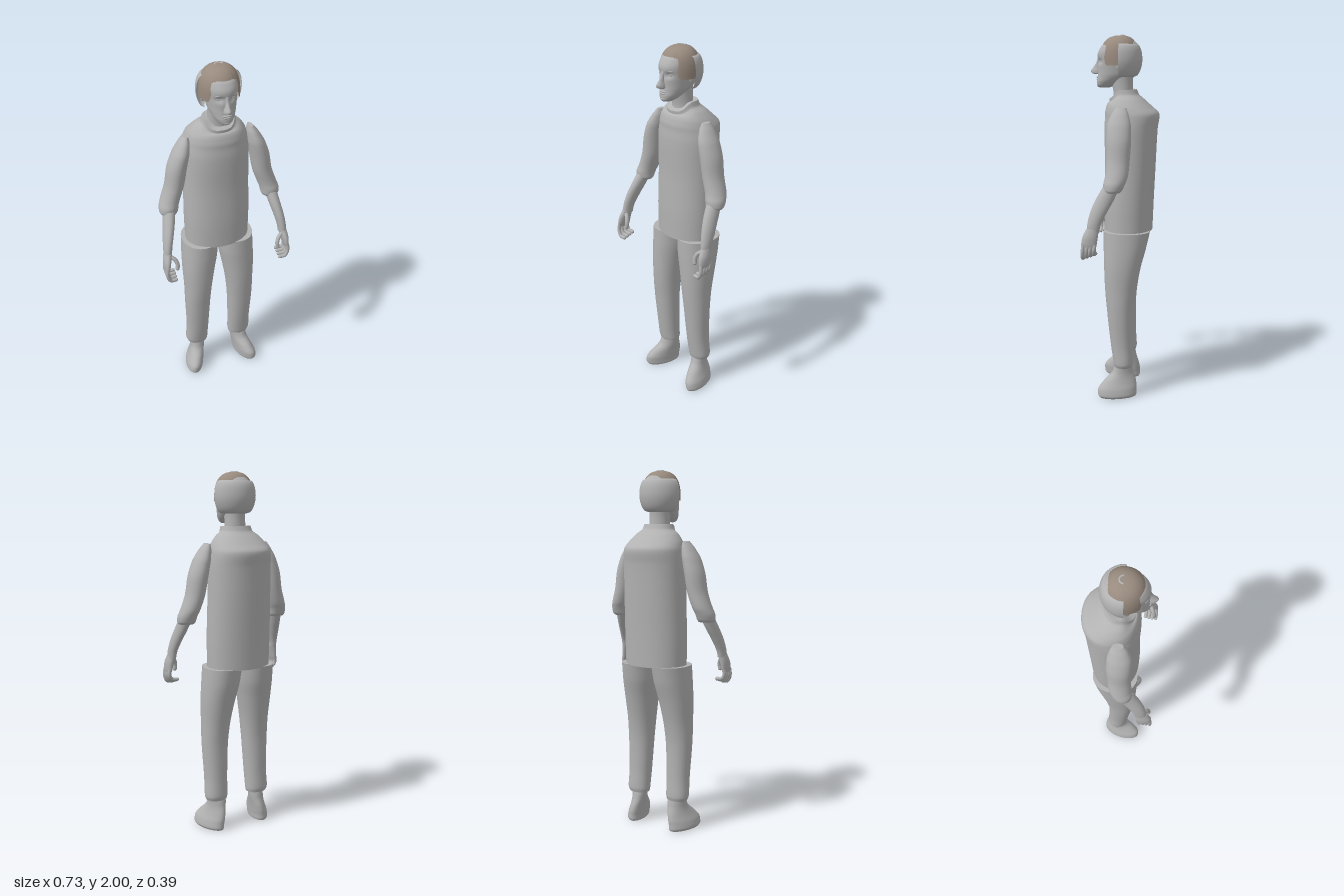
import * as THREE from 'three';

const grey = new THREE.MeshStandardMaterial({ color: 0xb2b2b2, side: THREE.DoubleSide });
grey.name = 'plain grey';
const brown = new THREE.MeshStandardMaterial({ color: 0x988a7e, side: THREE.DoubleSide });
brown.name = 'hair brown';

const SIDES = [['left', 1], ['right', -1]];
const smooth = THREE.MathUtils.smoothstep;

function add(parent, name, geometry, material = grey) {
  const mesh = new THREE.Mesh(geometry, material);
  mesh.name = name;
  parent.add(mesh);
  return mesh;
}

// Smooth capped body through oval sections [y, x, z, rx, rz], listed bottom to top
function loft(sections, { side = 1, n = 36, steps = 6, power = 2, deform } = {}) {
  const centres = new THREE.CatmullRomCurve3(sections.map(s => new THREE.Vector3(s[1] * side, s[0], s[2])));
  const radii = new THREE.CatmullRomCurve3(sections.map(s => new THREE.Vector3(s[3], s[4], 0)));
  const rows = (sections.length - 1) * steps;
  const pos = [], index = [];
  const bend = v => Math.sign(v) * Math.pow(Math.abs(v), 2 / power);
  for (let j = 0; j <= rows; j++) {
    const c = centres.getPoint(j / rows), r = radii.getPoint(j / rows);
    for (let i = 0; i < n; i++) {
      const a = i / n * Math.PI * 2;
      const p = new THREE.Vector3(c.x + r.x * bend(Math.cos(a)), c.y, c.z + r.y * bend(Math.sin(a)));
      if (deform) deform(p);
      pos.push(p.x, p.y, p.z);
    }
  }
  for (let j = 0; j < rows; j++) for (let i = 0; i < n; i++) {
    const a = j * n + i, b = j * n + (i + 1) % n;
    index.push(a, a + n, b, b, a + n, b + n);
  }
  // Flat caps on their own vertices keep the rims sharp
  for (const [row, up] of [[0, false], [rows, true]]) {
    const start = pos.length / 3, mid = [0, 0, 0];
    for (let i = 0; i < n; i++) for (let k = 0; k < 3; k++) {
      const v = pos[(row * n + i) * 3 + k];
      mid[k] += v / n;
      pos.push(v);
    }
    pos.push(...mid);
    for (let i = 0; i < n; i++) {
      const a = start + i, b = start + (i + 1) % n;
      index.push(start + n, up ? b : a, up ? a : b);
    }
  }
  const g = new THREE.BufferGeometry();
  g.setAttribute('position', new THREE.Float32BufferAttribute(pos, 3));
  g.setIndex(index);
  g.computeVertexNormals();
  return g;
}

function ball(parent, name, [x, y, z], [sx, sy, sz], material) {
  const m = add(parent, name, new THREE.SphereGeometry(1, 20, 14), material);
  m.position.set(x, y, z);
  m.scale.set(sx, sy, sz);
  return m;
}

function finger(parent, name, points, radius) {
  const pts = points.map(p => new THREE.Vector3(...p));
  add(parent, name, new THREE.TubeGeometry(new THREE.CatmullRomCurve3(pts), 12, radius, 10));
  ball(parent, name + 'Tip', points[points.length - 1], [radius, radius, radius]);
}

function buildHead() {
  const head = new THREE.Group();
  head.name = 'head';
  add(head, 'neck', loft([
    [1.63, 0, 0, 0.068, 0.06], [1.69, 0, 0.002, 0.058, 0.054],
    [1.75, 0, 0.008, 0.056, 0.058], [1.82, 0, 0.015, 0.06, 0.07]]));
  // Skull and jaw, with pressed-in eye sockets
  add(head, 'skull', loft([
    [1.722, 0, 0.105, 0.022, 0.03], [1.733, 0, 0.096, 0.038, 0.049], [1.755, 0, 0.078, 0.055, 0.068],
    [1.79, 0, 0.046, 0.071, 0.095], [1.84, 0, 0.03, 0.08, 0.11], [1.9, 0, 0.026, 0.086, 0.115],
    [1.94, 0, 0.02, 0.083, 0.102], [1.97, 0, 0.015, 0.063, 0.072], [1.985, 0, 0.012, 0.03, 0.035]], {
    n: 64, steps: 8, power: 2.15,
    deform: p => {
      if (p.z < 0.06) return;
      const d = ((Math.abs(p.x) - 0.034) / 0.02) ** 2 + ((p.y - 1.862) / 0.014) ** 2;
      p.z -= 0.013 * Math.exp(-d);
    } }));
  add(head, 'nose', loft([
    [1.793, 0, 0.143, 0.016, 0.018], [1.798, 0, 0.146, 0.02, 0.028], [1.81, 0, 0.147, 0.018, 0.032],
    [1.83, 0, 0.142, 0.012, 0.024], [1.855, 0, 0.136, 0.01, 0.014], [1.88, 0, 0.13, 0.013, 0.012]], { n: 20 }));
  ball(head, 'upperLip', [0, 1.776, 0.139], [0.025, 0.005, 0.01]);
  ball(head, 'lowerLip', [0, 1.765, 0.138], [0.021, 0.006, 0.01]);
  ball(head, 'chin', [0, 1.736, 0.128], [0.025, 0.015, 0.019]);
  for (const [label, s] of SIDES) {
    ball(head, label + 'Eye', [0.034 * s, 1.862, 0.112], [0.015, 0.008, 0.01]);
    ball(head, label + 'Brow', [0.036 * s, 1.881, 0.122], [0.022, 0.005, 0.009]).rotation.y = 0.35 * s;
    ball(head, label + 'Ear', [0.088 * s, 1.845, 0.015], [0.011, 0.034, 0.02]);
  }

  // Cap of hair: high over the forehead, low at the temples and nape
  const hair = new THREE.SphereGeometry(1, 64, 24, 0, Math.PI * 2, 0, Math.PI / 2);
  const p = hair.attributes.position, base = 1.857;
  for (let i = 0; i < p.count; i++) {
    const x = p.getX(i), z = p.getZ(i), flat = Math.hypot(x, z);
    const f = flat > 1e-5 ? z / flat : 0, c = flat > 1e-5 ? x / flat : 0;
    const rim = 1.84 + 0.11 * smooth(f, 0.66, 0.86) - 0.055 * smooth(-f, 0.25, 0.6);
    const t = Math.acos(Math.min(1, p.getY(i))) / (Math.PI / 2);
    const y = 1.997 - (1.997 - rim) * (1 - Math.cos(t * Math.PI / 2));
    const h = Math.max(0, (y - base) / 0.14);
    let r = Math.pow(Math.max(0, 1 - Math.pow(h, 2.6)), 1 / 2.6);
    if (y < base) r -= (base - y) * 2.6 * smooth(-f, 0.1, 0.5);
    p.setXYZ(i, c * r * 0.105, y, 0.015 + f * r * (f > 0 ? 0.115 : 0.1));
  }
  hair.computeVertexNormals();
  add(head, 'hair', hair, brown);
  const crown = add(head, 'crownPatch', new THREE.TorusGeometry(0.02, 0.006, 8, 20, Math.PI));
  crown.rotation.x = -Math.PI / 2;
  crown.position.set(0, 1.994, 0.015);

  // Half bowl wrapping the back of the head
  const bowl = [[0.075, 1.778], [0.093, 1.786], [0.108, 1.81], [0.118, 1.845], [0.12, 1.88],
    [0.114, 1.92], [0.1, 1.947], [0.082, 1.954]].map(q => new THREE.Vector2(...q));
  const profile = new THREE.SplineCurve(bowl).getPoints(28);
  add(head, 'backOfHead', new THREE.LatheGeometry(profile, 32, Math.PI / 2, Math.PI)).position.z = 0.02;
  return head;
}

function buildArm(label, side) {
  const arm = new THREE.Group();
  arm.name = label + 'Arm';
  add(arm, 'sleeve', loft([
    [1.192, 0.29, 0.034, 0.044, 0.04], [1.205, 0.29, 0.032, 0.051, 0.05], [1.235, 0.287, 0.026, 0.053, 0.057],
    [1.27, 0.275, 0.016, 0.053, 0.06], [1.35, 0.248, 0.01, 0.053, 0.062], [1.45, 0.23, 0.008, 0.053, 0.066],
    [1.53, 0.208, 0.008, 0.046, 0.063], [1.59, 0.188, 0.004, 0.03, 0.045], [1.622, 0.178, 0, 0.014, 0.028]],
    { side }));
  add(arm, 'forearm', loft([
    [0.99, 0.333, 0.134, 0.022, 0.033], [1.03, 0.33, 0.127, 0.024, 0.036], [1.09, 0.319, 0.105, 0.028, 0.044],
    [1.15, 0.305, 0.076, 0.031, 0.048], [1.22, 0.29, 0.04, 0.034, 0.045]], { side, n: 28 }));
  add(arm, 'palm', loft([
    [0.905, 0.348, 0.153, 0.012, 0.036], [0.925, 0.346, 0.153, 0.017, 0.041],
    [0.96, 0.342, 0.148, 0.021, 0.041], [1.005, 0.333, 0.135, 0.022, 0.033]], { side, n: 24 }));
  for (let i = 0; i < 4; i++) {
    const z = 0.123 + i * 0.02, drop = 0.007 * i;
    finger(arm, 'finger' + (i + 1), [
      [0.349 * side, 0.925, z], [0.351 * side, 0.892 - drop / 2, z + 0.004],
      [0.336 * side, 0.87 - drop, z + 0.005], [0.306 * side, 0.866 - drop, z + 0.002]], 0.0105);
  }
  finger(arm, 'thumb', [[0.33 * side, 0.99, 0.15], [0.302 * side, 0.968, 0.165],
    [0.291 * side, 0.94, 0.174], [0.293 * side, 0.915, 0.177]], 0.0115);
  return arm;
}

function buildLeg(label, side) {
  const leg = new THREE.Group();
  leg.name = label + 'Leg';
  add(leg, 'trouserLeg', loft([
    [0.172, 0.133, -0.01, 0.06, 0.05], [0.195, 0.135, -0.01, 0.066, 0.056], [0.3, 0.132, 0, 0.066, 0.061],
    [0.5, 0.131, 0.01, 0.074, 0.072], [0.62, 0.126, 0.008, 0.08, 0.085], [0.75, 0.118, -0.003, 0.092, 0.102],
    [0.85, 0.108, -0.015, 0.1, 0.117], [0.945, 0.102, -0.024, 0.102, 0.126]], { side, power: 2.15 }));
  // Shoe with the toe turned outwards
  add(leg, 'shoe', loft([
    [0, 0.158, 0.02, 0.05, 0.1], [0.015, 0.16, 0.022, 0.055, 0.107], [0.05, 0.155, 0.022, 0.053, 0.107],
    [0.09, 0.145, 0.01, 0.047, 0.09], [0.135, 0.136, -0.006, 0.045, 0.06], [0.185, 0.133, -0.01, 0.047, 0.046]],
    { side, deform: p => { p.x += side * p.z * 0.2; } }));
  return leg;
}

export function createModel() {
  const figure = new THREE.Group();
  figure.name = 'standingMan';
  // Shirt, with the collar dipping at the throat
  add(figure, 'shirt', loft([
    [0.94, 0, -0.028, 0.18, 0.133], [1.1, 0, -0.03, 0.183, 0.137], [1.3, 0, -0.037, 0.18, 0.139],
    [1.5, 0, -0.04, 0.177, 0.146], [1.58, 0, -0.046, 0.168, 0.148], [1.62, 0, -0.03, 0.152, 0.125],
    [1.66, 0, -0.015, 0.122, 0.096], [1.685, 0, -0.003, 0.092, 0.08], [1.712, 0, 0.004, 0.084, 0.075]], {
    n: 56, power: 2.15,
    deform: p => { p.y -= 0.05 * smooth(p.y, 1.63, 1.71) * smooth(p.z, 0.01, 0.08); } }));
  figure.add(buildHead());
  for (const [label, side] of SIDES) figure.add(buildArm(label, side), buildLeg(label, side));
  return figure;
}
